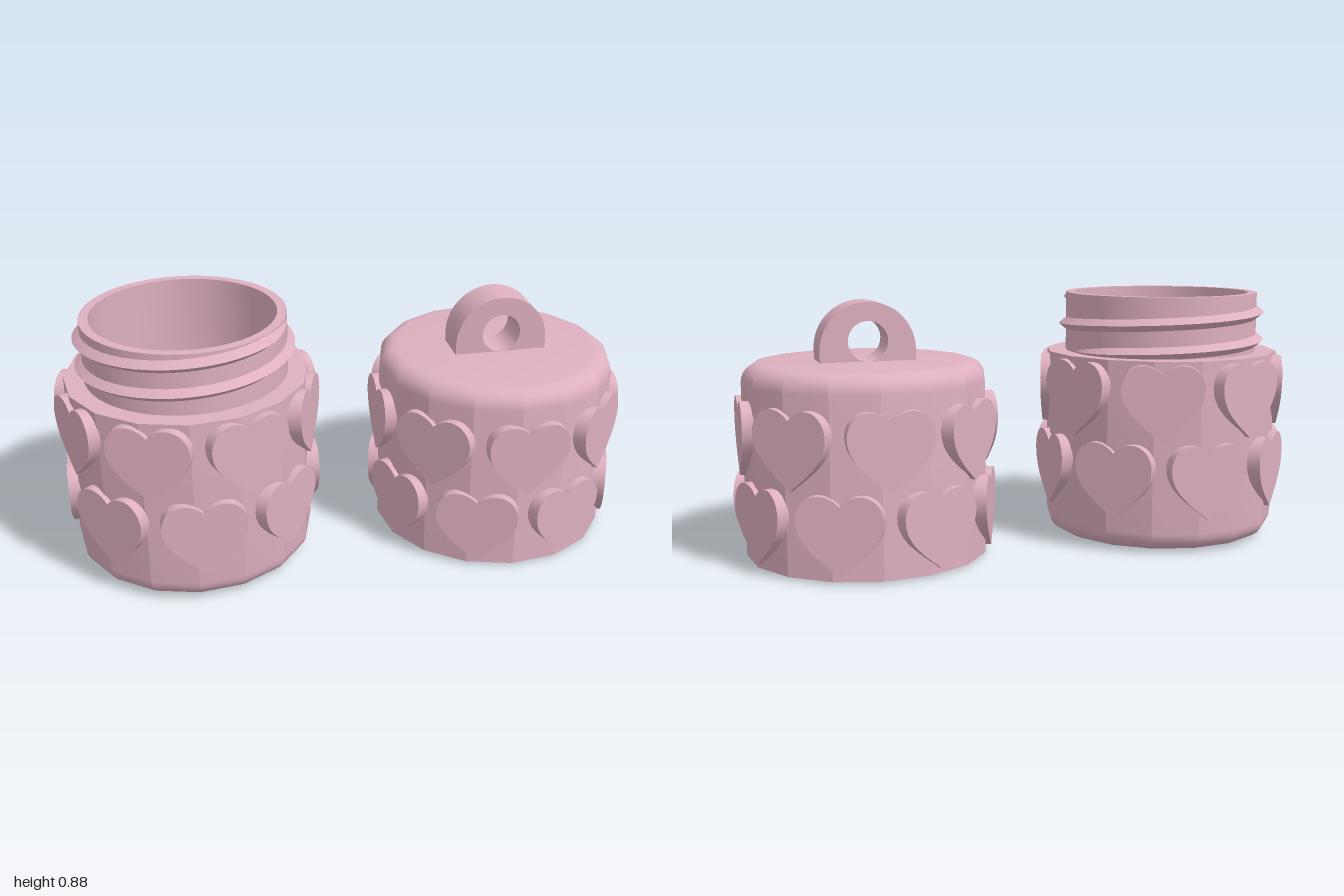
import * as THREE from 'three';
import { toCreasedNormals } from 'three/addons/utils/BufferGeometryUtils.js';

const pink = new THREE.MeshStandardMaterial({ color: 0xdeb0bf });
pink.name = 'dusty pink';

const R = 0.415, HEIGHT = 0.66, BEVEL = 0.065, CENTRE = 0.547;

function add(parent, name, geometry, crease) {
  const mesh = new THREE.Mesh(toCreasedNormals(geometry, crease), pink);
  mesh.name = name;
  parent.add(mesh);
  return mesh;
}

function lathe(points, sides, start = 0) {
  return new THREE.LatheGeometry(points.map(([x, y]) => new THREE.Vector2(x, y)), sides, start);
}

// Quarter round at the bottom (dir -1) or the top (dir 1) of an outer wall
function roundedEdge(dir) {
  const pts = [];
  for (let i = 0; i <= 6; i++) {
    const a = (i / 6) * Math.PI / 2;
    const y = BEVEL * (1 - Math.sin(a));
    pts.push([R - BEVEL + BEVEL * Math.cos(a), dir < 0 ? y : HEIGHT - y]);
  }
  return dir < 0 ? pts.reverse() : pts;
}

// Helical ridge with a triangular section that fades out at both ends
function threadGeometry(base, tip, y0, pitch, from, to) {
  const steps = 110, half = 0.024, pos = [], index = [];
  const inward = tip < base;
  const root = base + (inward ? 0.003 : -0.003);
  for (let i = 0; i <= steps; i++) {
    const a = from + (to - from) * i / steps;
    const fade = Math.min(1, (a - from) / 0.6, (to - a) / 0.6);
    const y = y0 + pitch * a / (2 * Math.PI);
    for (const [r, dy] of [[root, -half], [root + (tip - root) * fade, 0], [root, half]]) {
      pos.push(r * Math.sin(a), y + dy * (0.3 + 0.7 * fade), r * Math.cos(a));
    }
    if (i === steps) continue;
    for (let j = 0; j < 2; j++) {
      const p = i * 3 + j, q = p + 3;
      if (inward) index.push(p, p + 1, q, q, p + 1, q + 1);
      else index.push(p, q, p + 1, q, q + 1, p + 1);
    }
  }
  const g = new THREE.BufferGeometry();
  g.setAttribute('position', new THREE.Float32BufferAttribute(pos, 3));
  g.setIndex(index);
  return g;
}

// Raised heart plate, its face 0.43 from the axis
function heartGeometry() {
  const s = new THREE.Shape();
  s.moveTo(0, 0.097);
  s.bezierCurveTo(0.02, 0.12, 0.045, 0.13, 0.068, 0.13);
  s.bezierCurveTo(0.11, 0.13, 0.141, 0.095, 0.141, 0.05);
  s.bezierCurveTo(0.141, -0.03, 0.06, -0.08, 0, -0.13);
  s.bezierCurveTo(-0.06, -0.08, -0.141, -0.03, -0.141, 0.05);
  s.bezierCurveTo(-0.141, 0.095, -0.11, 0.13, -0.068, 0.13);
  s.bezierCurveTo(-0.045, 0.13, -0.02, 0.12, 0, 0.097);
  const g = new THREE.ExtrudeGeometry(s, { depth: 0.06, bevelEnabled: false, curveSegments: 10 });
  return g.translate(0, 0, 0.37);
}

function heartRow(parent, name, y, offset) {
  const row = new THREE.Group();
  row.name = name;
  const g = heartGeometry();
  for (let i = 0; i < 8; i++) {
    const heart = add(row, 'heart', g, 0.5);
    heart.position.y = y;
    heart.rotation.y = (i + offset) * Math.PI / 4;
  }
  parent.add(row);
}

export function createModel() {
  const model = new THREE.Group();
  model.name = 'heartJarWithLid';
  const sides = 16, turn = -4 * Math.PI / 180, deg = Math.PI / 180;

  // Jar: faceted body, round threaded neck and hollow inside
  const jar = new THREE.Group();
  jar.name = 'jar';
  jar.position.x = -CENTRE;
  add(jar, 'jarBody', lathe([[0, 0], ...roundedEdge(-1), [R, HEIGHT], [0.33, HEIGHT]], sides, turn), 0.35);
  add(jar, 'jarNeckAndCavity',
    lathe([[0.345, 0.62], [0.345, 0.87], [0.313, 0.87], [0.313, 0.06], [0, 0.06]], 48), 0.5);
  add(jar, 'neckThread', threadGeometry(0.345, 0.371, 0.735, 0.098, -270 * deg, 440 * deg), 0.5);
  heartRow(jar, 'upperHearts', 0.518, 0.5);
  heartRow(jar, 'lowerHearts', 0.245, 0);
  model.add(jar);

  // Lid: faceted shell, open below, with an inner thread
  const lid = new THREE.Group();
  lid.name = 'lid';
  lid.position.x = CENTRE;
  add(lid, 'lidShell', lathe([[0.37, 0], [R, 0], ...roundedEdge(1), [0, HEIGHT]], sides, turn), 0.35);
  add(lid, 'lidCavity', lathe([[0, 0.6], [0.355, 0.6], [0.355, 0], [0.376, 0]], 48), 0.5);
  add(lid, 'lidThread', threadGeometry(0.355, 0.333, 0.08, 0.098, -270 * deg, 440 * deg), 0.5);
  heartRow(lid, 'upperHearts', 0.415, 0);
  heartRow(lid, 'lowerHearts', 0.15, 0.5);

  // Hanging loop on top of the lid
  const arch = new THREE.Shape();
  arch.moveTo(-0.163, 0.64);
  arch.lineTo(0.163, 0.64);
  arch.lineTo(0.163, 0.697);
  arch.absarc(0, 0.697, 0.163, 0, Math.PI, false);
  arch.lineTo(-0.163, 0.64);
  const hole = new THREE.Path();
  hole.absarc(0, 0.728, 0.068, 0, Math.PI * 2, true);
  arch.holes.push(hole);
  const loop = new THREE.ExtrudeGeometry(arch, { depth: 0.134, bevelEnabled: false, curveSegments: 32 });
  add(lid, 'hangingLoop', loop.translate(0, 0, -0.067), 0.5);
  model.add(lid);

  return model;
}
